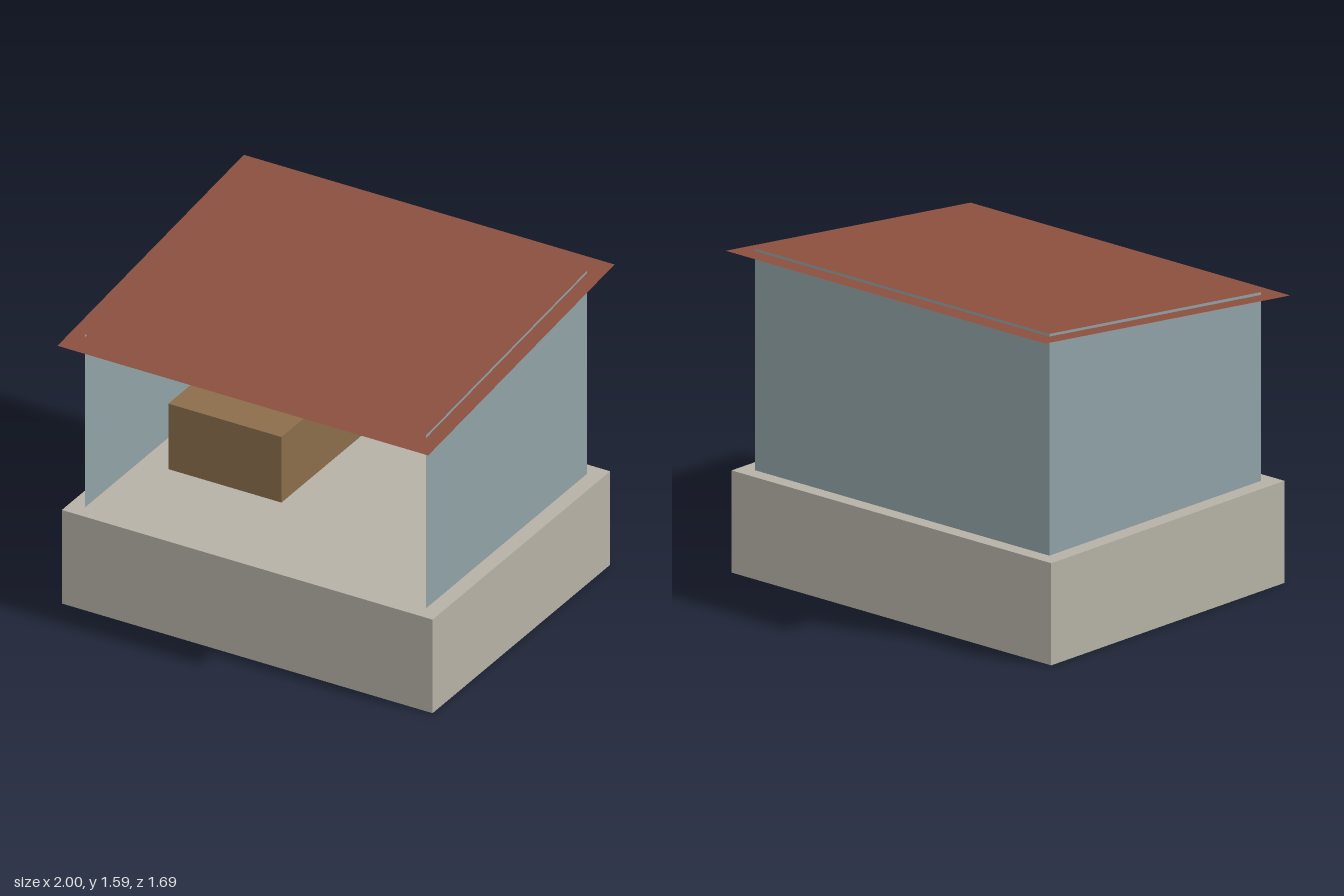
import * as THREE from 'three';

const mat = (name, color) => {
  const m = new THREE.MeshStandardMaterial({ color, side: THREE.DoubleSide });
  m.name = name;
  return m;
};

// Flat four-cornered sheet
function quad(a, b, c, d) {
  const g = new THREE.BufferGeometry();
  g.setAttribute('position', new THREE.Float32BufferAttribute([a, b, c, a, c, d].flat(), 3));
  g.computeVertexNormals();
  return g;
}

export function createModel() {
  const concrete = mat('concrete', 0xb5b1a5);
  const wallPaint = mat('wall paint', 0x8fa1a5);
  const roofRed = mat('roof red', 0x8b4f3e);
  const wood = mat('wood', 0x8b6d4a);
  const blue = mat('blue', 0x4678a6);

  const model = new THREE.Group();
  model.name = 'shed';
  const add = (name, geometry, material, x = 0, y = 0, z = 0) => {
    const mesh = new THREE.Mesh(geometry, material);
    mesh.name = name;
    mesh.position.set(x, y, z);
    model.add(mesh);
    return mesh;
  };

  // Hollow base: four sides and a floor, open underneath
  const bx = 1, bz = 0.805, floorY = 0.5;
  const corners = [[-bx, bz], [bx, bz], [bx, -bz], [-bx, -bz]];
  corners.forEach(([x, z], i) => {
    const [x2, z2] = corners[(i + 1) % 4];
    add('baseSide', quad([x, 0, z], [x2, 0, z2], [x2, floorY, z2], [x, floorY, z]), concrete);
  });
  add('floor', quad(...corners.map(([x, z]) => [x, floorY, z])), concrete);

  // Three thin walls, open at the front, tops sloping with the roof
  const wx = 0.92, wz = 0.73, frontTop = 1.424, backTop = 1.585;
  add('leftWall', quad([wx, floorY, wz], [wx, floorY, -wz], [wx, backTop, -wz], [wx, frontTop, wz]), wallPaint);
  add('rightWall', quad([-wx, floorY, -wz], [-wx, floorY, wz], [-wx, frontTop, wz], [-wx, backTop, -wz]), wallPaint);
  add('backWall', quad([wx, floorY, -wz], [-wx, floorY, -wz], [-wx, backTop, -wz], [wx, backTop, -wz]), wallPaint);

  // Overhanging roof sheet with a raised panel over the room
  const slopedSheet = (x, z, front, back) =>
    quad([-x, front, z], [x, front, z], [x, back, -z], [-x, back, -z]);
  add('roof', slopedSheet(1, 0.845, 1.397, 1.585), roofRed);
  add('roofPanel', slopedSheet(wx, wz, frontTop, backTop), roofRed);

  // Crate
  const height = 0.35;
  add('crate', new THREE.BoxGeometry(0.61, height, 0.765), wood, -0.465, floorY + height / 2, -0.157);

  // Six-sided barrel
  const outline = [-5, 52, 107, 175, 232, 287].map((deg) => {
    const a = THREE.MathUtils.degToRad(deg);
    return new THREE.Vector2(0.126 * Math.cos(a), -0.126 * Math.sin(a));
  });
  const barrel = new THREE.ExtrudeGeometry(new THREE.Shape(outline), { depth: height, bevelEnabled: false });
  barrel.rotateX(-Math.PI / 2);
  add('barrel', barrel, blue, 0.546, floorY, -0.3);

  return model;
}
